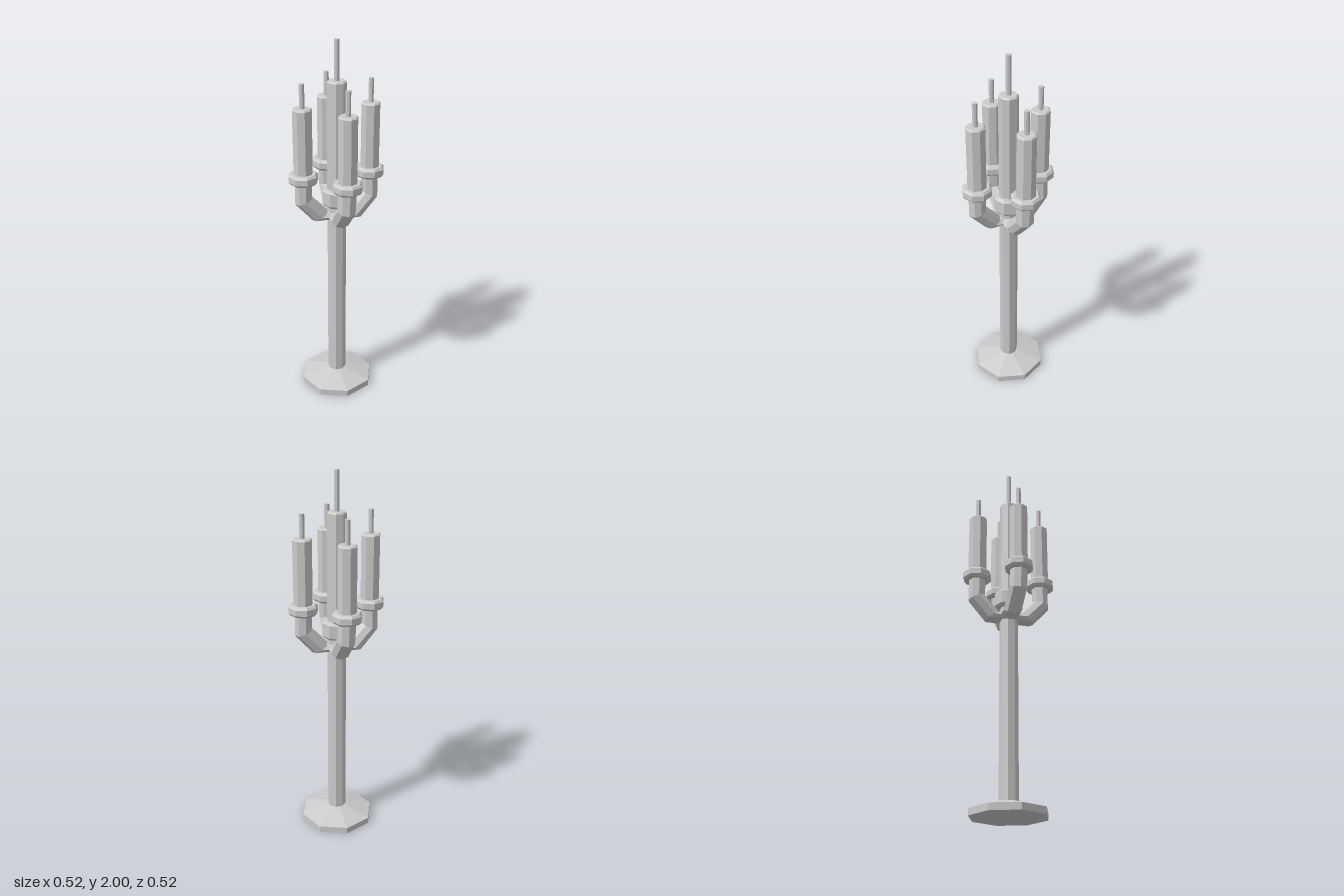
import * as THREE from 'three';

const material = new THREE.MeshStandardMaterial({ color: 0xcccccc, flatShading: true });
const SIDES = 8;

// Eight-sided turned part from [radius, height] pairs, listed bottom to top
function turned(name, profile, turn = 0) {
  const points = profile.map(([r, y]) => new THREE.Vector2(r, y));
  const mesh = new THREE.Mesh(new THREE.LatheGeometry(points, SIDES), material);
  mesh.name = name;
  mesh.rotation.y = turn;
  return mesh;
}

const cup = (name, y0, y1) => turned(name, [
  [0, y0], [0.068, y0], [0.079, y0 + 0.012], [0.079, y1 - 0.012], [0.068, y1], [0, y1],
]);

const candle = (name, y0, y1, turn) => turned(name, [
  [0, y0], [0.051, y0], [0.051, y1 - 0.007], [0.044, y1], [0, y1],
], turn);

const wick = (name, y0, y1) => turned(name, [[0, y0], [0.014, y0], [0.014, y1], [0, y1]]);

// Bent arm: octagonal rings, each given by its inner and outer corner and sideways shift
function armGeometry() {
  const rings = [
    { inner: [0, 1.095], outer: [0, 1.045], shift: 0.006 },
    { inner: [0.05, 1.097], outer: [0.132, 1.045], shift: 0.008 },
    { inner: [0.135, 1.187], outer: [0.226, 1.152], shift: 0.004 },
    { inner: [0.133, 1.28], outer: [0.227, 1.28], shift: 0 },
  ];
  const positions = [];
  const index = [];
  for (const { inner, outer, shift } of rings) {
    for (let i = 0; i < SIDES; i++) {
      const a = (i / SIDES) * Math.PI * 2;
      const t = (1 + Math.cos(a)) / 2;
      positions.push(
        inner[0] + (outer[0] - inner[0]) * t,
        inner[1] + (outer[1] - inner[1]) * t,
        Math.sin(a) * 0.049 + shift,
      );
    }
  }
  for (let r = 0; r < rings.length - 1; r++) {
    for (let i = 0; i < SIDES; i++) {
      const a = r * SIDES + i;
      const b = r * SIDES + ((i + 1) % SIDES);
      index.push(a, a + SIDES, b, b, a + SIDES, b + SIDES);
    }
  }
  const geometry = new THREE.BufferGeometry();
  geometry.setAttribute('position', new THREE.Float32BufferAttribute(positions, 3));
  geometry.setIndex(index);
  geometry.computeVertexNormals();
  return geometry;
}

export function createModel() {
  const model = new THREE.Group();
  model.name = 'candelabrum';
  const eighthTurn = Math.PI / SIDES;

  // Foot and central column
  model.add(
    turned('base', [[0, 0], [0.204, 0], [0.204, 0.036], [0.05, 0.078], [0, 0.078]]),
    turned('stem', [[0, 0.06], [0.05, 0.06], [0.05, 1.14], [0, 1.14]], eighthTurn),
    cup('centreCup', 1.125, 1.22),
    candle('centreCandle', 1.21, 1.795, eighthTurn),
    wick('centreWick', 1.79, 2),
  );

  // Four arms, each carrying a cup, candle and wick
  const armShape = armGeometry();
  for (let i = 0; i < 4; i++) {
    const branch = new THREE.Group();
    branch.name = `branch${i + 1}`;
    const arm = new THREE.Mesh(armShape, material);
    arm.name = 'arm';
    arm.material = material.clone();
    arm.material.side = THREE.DoubleSide;
    const parts = [cup('cup', 1.27, 1.325), candle('candle', 1.32, 1.67, 0), wick('wick', 1.665, 1.795)];
    for (const part of parts) part.position.x = 0.181;
    branch.add(arm, ...parts);
    branch.rotation.y = (i * Math.PI) / 2;
    model.add(branch);
  }
  return model;
}
